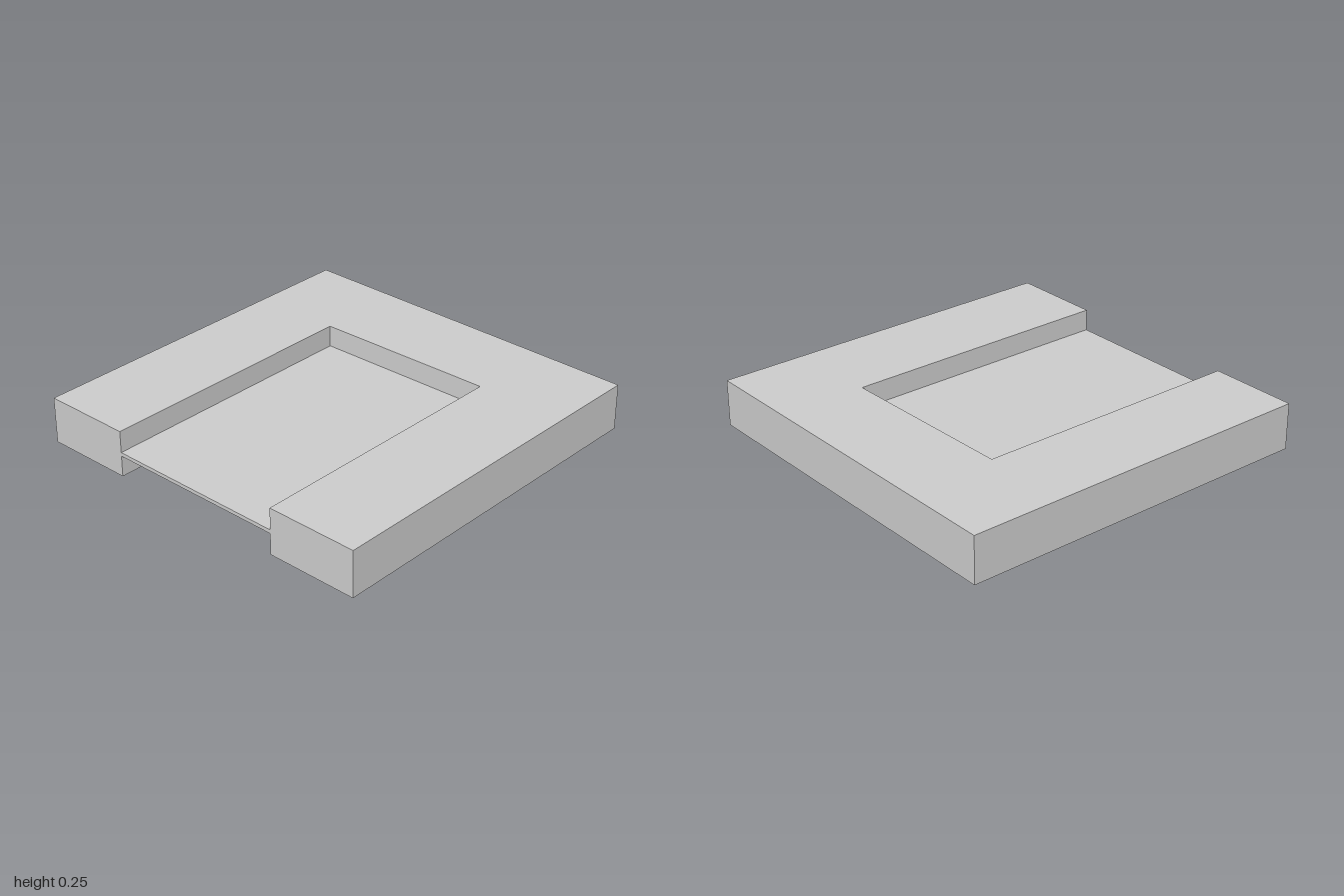
import * as THREE from 'three';

// Extrude a floor-plan outline of [x, z] points upwards from y0 to y1
function slab(name, outline, y0, y1) {
  const shape = new THREE.Shape(outline.map(([x, z]) => new THREE.Vector2(x, -z)));
  const geometry = new THREE.ExtrudeGeometry(shape, { depth: y1 - y0, bevelEnabled: false });
  geometry.rotateX(-Math.PI / 2).translate(0, y0, 0);
  const mesh = new THREE.Mesh(geometry, new THREE.MeshStandardMaterial({ color: 0xcccccc }));
  mesh.name = name;
  return mesh;
}

export function createModel() {
  const model = new THREE.Group();
  model.name = 'slottedFrame';

  // Slot open at the front, with a slightly skewed back edge
  const slot = [[0.495, 1], [0.495, -0.52], [-0.51, -0.5], [-0.51, 1]];

  // Thick U-shaped frame around the slot
  model.add(slab('frame', [[-1, 1], [-1, -1], [1, -1], [1, 1], ...slot], 0, 0.253));

  // Thin panel closing the slot at mid height
  model.add(slab('panel', slot, 0.115, 0.135));

  return model;
}
